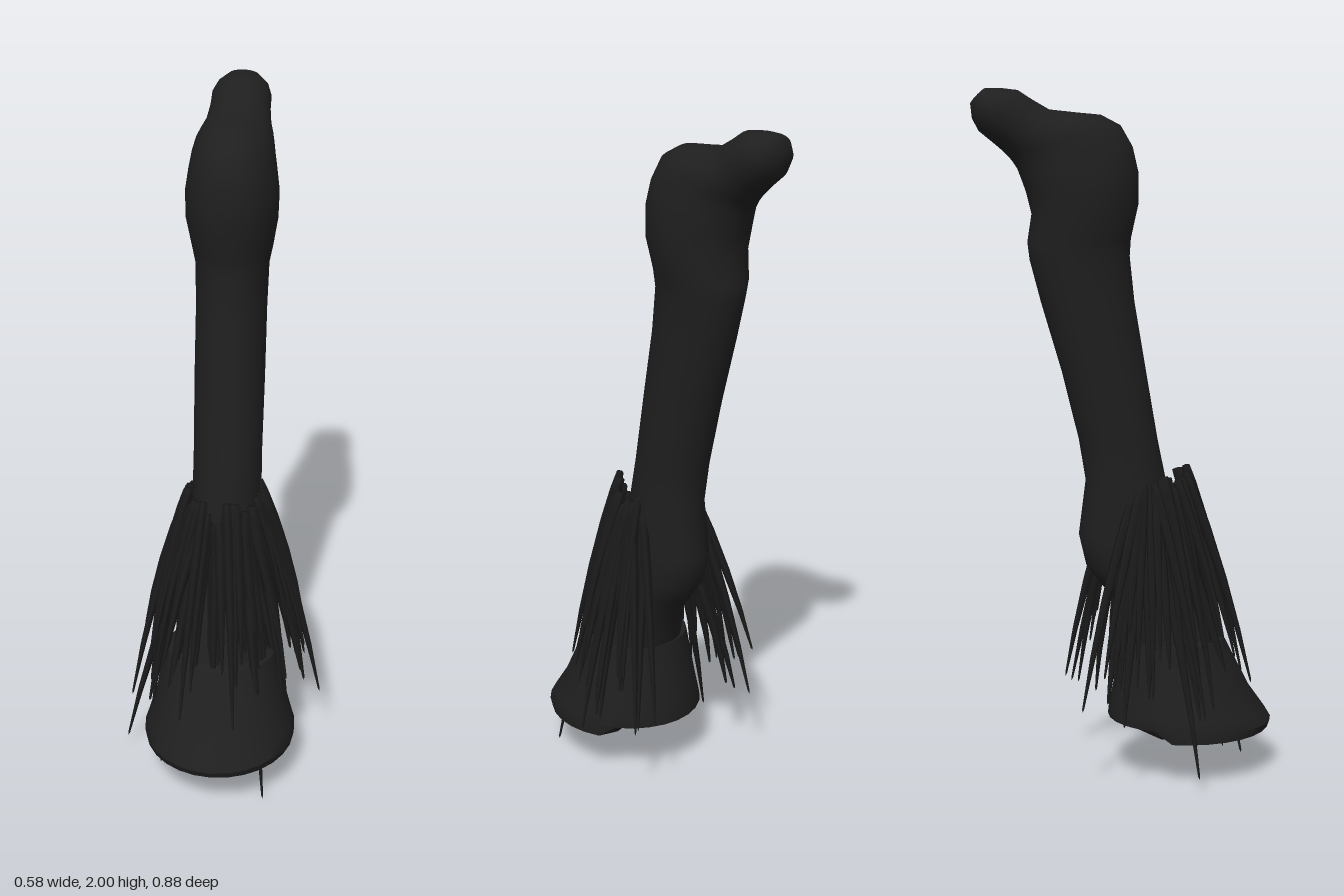
import * as THREE from 'three';
import { mergeGeometries, toCreasedNormals } from 'three/addons/utils/BufferGeometryUtils.js';

const SIDES = 28;

// Skin over oval sections; each is [front z, front y, back z, back y, half width]
function loft(sections) {
  const pos = [], index = [];
  for (const [fz, fy, bz, by, w] of sections) {
    for (let s = 0; s < SIDES; s++) {
      const t = (s / SIDES) * Math.PI * 2, c = Math.cos(t);
      pos.push(w * Math.sin(t), (fy + by) / 2 + c * (fy - by) / 2, (fz + bz) / 2 + c * (fz - bz) / 2);
    }
  }
  for (let i = 0; i < sections.length - 1; i++) {
    for (let s = 0; s < SIDES; s++) {
      const a = i * SIDES + s, b = i * SIDES + (s + 1) % SIDES;
      index.push(a, b, a + SIDES, b, b + SIDES, a + SIDES);
    }
  }
  const g = new THREE.BufferGeometry();
  g.setAttribute('position', new THREE.Float32BufferAttribute(pos, 3));
  g.setIndex(index);
  g.computeVertexNormals();
  return g;
}

function seeded(seed) {
  return () => (seed = (seed * 16807) % 2147483647) / 2147483647;
}

// One tapering lock of hair from root to tip, slightly bowed outwards
function lock(root, tip, thick) {
  const dir = tip.clone().sub(root), len = dir.length();
  const outward = new THREE.Vector3(dir.x, 0, dir.z).normalize();
  const profile = [[0, -1], [0.003, -0.985], [0.008, -0.75], [0.012, -0.5], [0.015, -0.25], [0.015, -0.08], [0.012, 0], [0, 0]]
    .map(([r, y]) => new THREE.Vector2(r * thick, y * len));
  const g = new THREE.LatheGeometry(profile, 5);
  g.applyQuaternion(new THREE.Quaternion().setFromUnitVectors(new THREE.Vector3(0, -1, 0), dir.clone().normalize()));
  const p = g.attributes.position;
  for (let i = 0; i < p.count; i++) {
    const u = THREE.MathUtils.clamp(p.getY(i) / dir.y, 0, 1), bow = 0.05 * u * (1 - u);
    p.setX(i, p.getX(i) + outward.x * bow);
    p.setZ(i, p.getZ(i) + outward.z * bow);
  }
  return g.translate(root.x, root.y, root.z);
}

export function createModel() {
  const coat = new THREE.MeshStandardMaterial({ name: 'dark coat', color: 0x1f1f1f });
  const hair = new THREE.MeshStandardMaterial({ name: 'black hair', color: 0x1b1b1b });
  const model = new THREE.Group();
  model.name = 'leg';
  const add = (name, geometry, material) => {
    const m = new THREE.Mesh(geometry, material);
    m.name = name;
    model.add(m);
  };

  // Pastern, fetlock, cannon and hock in one sweep, bending back at the top
  add('lowerLeg', loft([
    [0.28, 0.39, 0.02, 0.36, 0.145],
    [0.26, 0.46, 0.0, 0.43, 0.132],
    [0.22, 0.55, -0.02, 0.51, 0.115],
    [0.19, 0.6, -0.07, 0.57, 0.107],
    [0.16, 0.66, -0.115, 0.63, 0.108],
    [0.135, 0.75, -0.136, 0.72, 0.108],
    [0.12, 0.88, -0.115, 0.88, 0.101],
    [0.095, 1.0, -0.135, 1.0, 0.1],
    [0.06, 1.2, -0.185, 1.2, 0.102],
    [0.026, 1.4, -0.245, 1.4, 0.102],
    [0.012, 1.53, -0.277, 1.52, 0.105],
    [0.015, 1.58, -0.283, 1.57, 0.115],
    [0.037, 1.68, -0.27, 1.65, 0.13],
    [0.036, 1.77, -0.285, 1.71, 0.132],
    [0.02, 1.84, -0.3, 1.75, 0.124],
    [-0.015, 1.9, -0.31, 1.775, 0.116],
    [-0.07, 1.928, -0.323, 1.795, 0.109],
    [-0.14, 1.934, -0.335, 1.81, 0.102],
    [-0.22, 1.942, -0.35, 1.825, 0.092],
    [-0.27, 1.97, -0.38, 1.85, 0.086],
    [-0.31, 1.995, -0.418, 1.88, 0.085],
    [-0.355, 2.0, -0.437, 1.915, 0.073],
    [-0.4, 2.0, -0.442, 1.955, 0.045],
    [-0.42, 1.985, -0.42, 1.985, 0],
  ]), coat);

  // Hoof with a hollow sole, flared wall and closed top
  const hoof = loft([
    [0.2, 0.23, 0.2, 0.23, 0],
    [0.35, 0.22, 0.04, 0.22, 0.15],
    [0.395, 0.13, 0.0, 0.13, 0.178],
    [0.435, 0.13, -0.045, 0.13, 0.222],
    [0.443, 0.15, -0.045, 0.17, 0.225],
    [0.425, 0.18, -0.042, 0.2, 0.215],
    [0.375, 0.25, -0.03, 0.26, 0.195],
    [0.295, 0.405, 0.0, 0.405, 0.162],
    [0.27, 0.415, 0.02, 0.4, 0.14],
    [0.14, 0.41, 0.14, 0.41, 0],
  ]);
  // Heels sit a step higher than the toe
  const p = hoof.attributes.position;
  for (let i = 0; i < p.count; i++) {
    if (p.getZ(i) < 0.07 && p.getY(i) < 0.165) p.setY(i, 0.165);
  }
  add('hoof', toCreasedNormals(hoof, 0.7), coat);

  // Long hair fanned round the front and sides of the fetlock
  const rand = seeded(77), locks = [];
  const count = 54;
  for (let i = 0; i < count; i++) {
    const a = ((i + rand()) / count * 2 - 1) * 2.2;
    const front = Math.max(0, Math.cos(a));
    const y = i % 3 ? 0.83 + rand() * 0.07 : 0.64 + rand() * 0.14;
    const root = new THREE.Vector3(Math.sin(a) * 0.106, y, 0.05 + Math.cos(a) * 0.09 + front * 0.04);
    const b = a + (rand() - 0.5) * 0.3;
    const reach = 0.19 + rand() * 0.07;
    const drop = 0.4 + rand() * 0.25;
    const tip = new THREE.Vector3(
      Math.sin(b) * reach, Math.max(0.2, y - drop), 0.05 + Math.cos(b) * reach + front * 0.03);
    locks.push(lock(root, tip, 0.85 + rand() * 0.4));
  }
  // Longest strands: root then tip
  for (const [rx, ry, rz, tx, ty, tz] of [
    [0.07, 0.72, 0.17, 0.145, 0, 0.35],
    [-0.1, 0.7, 0.08, -0.29, 0.05, 0.147],
    [-0.08, 0.7, 0.16, -0.165, 0.08, 0.31],
    [0.11, 0.88, 0.05, 0.29, 0.2, 0.06],
    [0.1, 0.88, 0.06, 0.27, 0.25, 0.02],
    [-0.05, 0.9, 0.17, -0.1, 0.27, 0.36],
    [0.02, 0.91, 0.19, 0.06, 0.26, 0.38],
    [0.1, 0.85, 0.0, 0.18, 0.25, -0.14],
    [-0.1, 0.85, 0.0, -0.18, 0.24, -0.17],
    [-0.11, 0.87, 0.02, -0.24, 0.35, -0.12],
    [-0.11, 0.88, 0.06, -0.27, 0.22, 0.17],
    [0.11, 0.88, 0.03, 0.23, 0.22, -0.11],
  ]) locks.push(lock(new THREE.Vector3(rx, ry, rz), new THREE.Vector3(tx, ty, tz), 1));
  add('featherHair', mergeGeometries(locks), hair);

  return model;
}
